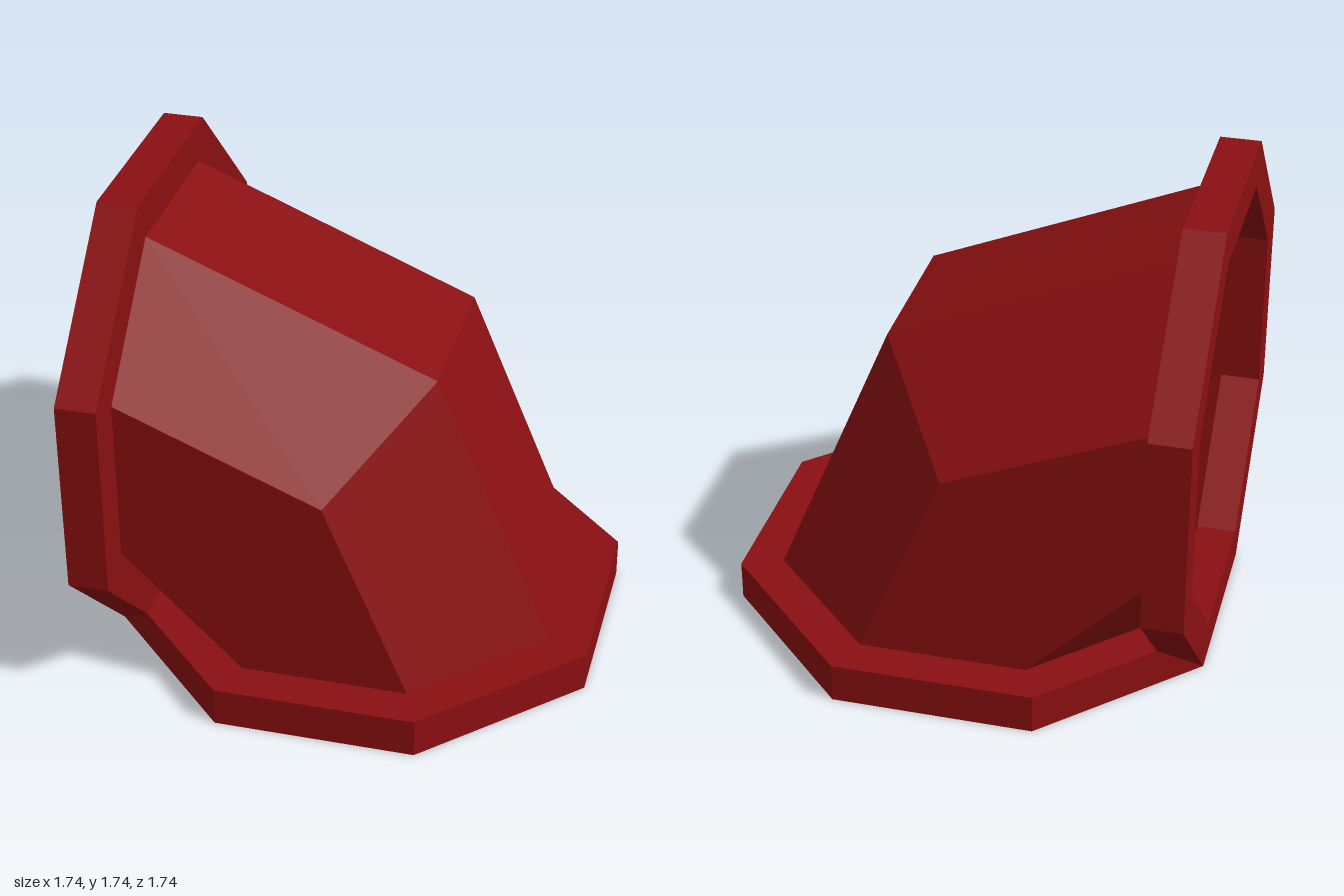
import * as THREE from 'three';

const OUTER = 0.868;          // flange apothem
const INNER = 0.723;          // pipe apothem
const T = OUTER - INNER;      // flange thickness
const C = 0.108;              // centre of the elbow in x and z
const HALF = INNER * Math.tan(Math.PI / 8); // half an octagon side

const material = new THREE.MeshStandardMaterial({
  color: 0x8a0f11, flatShading: true, side: THREE.DoubleSide,
});

// Corners of a flat-topped octagon with the given apothem
function octagon(apothem) {
  const radius = apothem / Math.cos(Math.PI / 8);
  return Array.from({ length: 8 }, (_, i) => {
    const a = (i + 0.5) * Math.PI / 4;
    return new THREE.Vector2(radius * Math.cos(a), radius * Math.sin(a));
  });
}

function flangeGeometry() {
  const shape = new THREE.Shape(octagon(OUTER));
  shape.holes.push(new THREE.Path(octagon(INNER).reverse()));
  return new THREE.ExtrudeGeometry(shape, { depth: T, bevelEnabled: false });
}

// Faceted elbow: wall opening, mitred bend, floor opening
function elbowGeometry() {
  const bend = (u) => {
    if (u > HALF + 0.01) return HALF;
    if (u > 0) return 0;
    if (u > -HALF - 0.01) return -(INNER + HALF) / 2;
    return -INNER;
  };
  const profile = octagon(INNER);
  const rings = [
    profile.map((p) => new THREE.Vector3(C - INNER, OUTER + p.x, C + p.y)),
    profile.map((p) => new THREE.Vector3(C + bend(p.x), OUTER + bend(p.x), C + p.y)),
    profile.map((p) => new THREE.Vector3(C + p.x, T, C + p.y)),
  ];
  const points = [];
  const addTriangle = (a, b, c) => {
    if (new THREE.Triangle(a, b, c).getArea() > 1e-6) points.push(a, b, c);
  };
  for (let r = 0; r < 2; r++) {
    for (let i = 0; i < 8; i++) {
      const j = (i + 1) % 8;
      const [from, to] = [rings[r], rings[r + 1]];
      addTriangle(from[i], from[j], to[j]);
      addTriangle(from[i], to[j], to[i]);
    }
  }
  const geometry = new THREE.BufferGeometry().setFromPoints(points);
  geometry.computeVertexNormals();
  return geometry;
}

export function createModel() {
  const group = new THREE.Group();
  group.name = 'pipeElbow';

  const add = (name, geometry) => {
    const mesh = new THREE.Mesh(geometry, material);
    mesh.name = name;
    group.add(mesh);
    return mesh;
  };

  add('elbowPipe', elbowGeometry());
  // Flange lying on the ground
  add('floorFlange', flangeGeometry().rotateX(-Math.PI / 2)).position.set(C, 0, C);
  // Flange standing at the side opening
  add('wallFlange', flangeGeometry().rotateY(Math.PI / 2)).position.set(C - OUTER, OUTER, C);

  return group;
}
